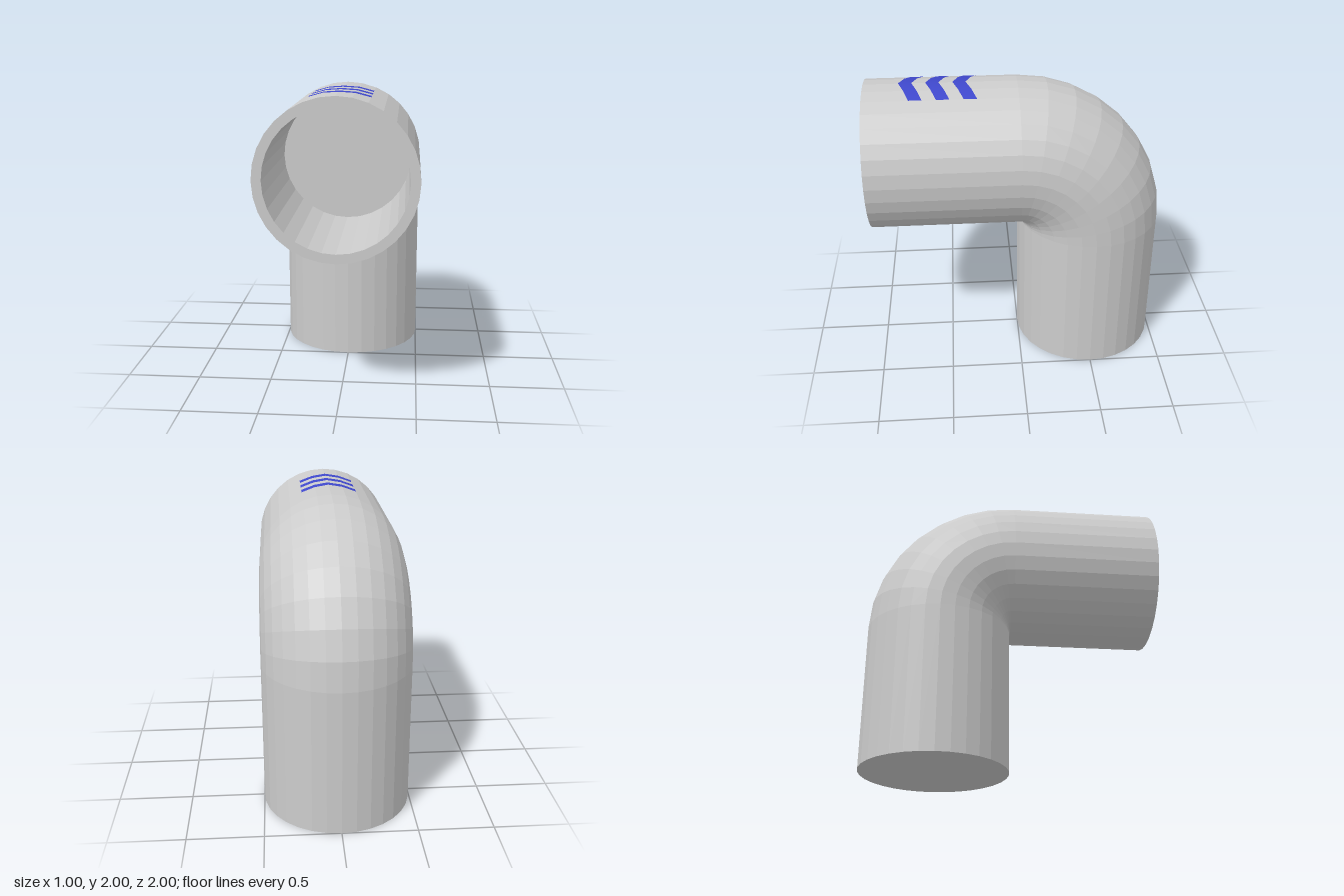
import * as THREE from 'three';

const SIDES = 32, BEND_STEPS = 8;
const R = 0.5, BORE = 0.44, BORE_DEPTH = 0.93, AXIS_Y = 1.5;

// Skin neighbouring rows of points with quads
function loft(rows) {
  const pos = [], index = [], n = rows[0].length;
  rows.forEach(row => row.forEach(p => pos.push(p.x, p.y, p.z)));
  for (let i = 0; i < rows.length - 1; i++) {
    for (let j = 0; j < n - 1; j++) {
      const a = i * n + j, b = a + 1, c = a + n, d = c + 1;
      index.push(a, b, d, a, d, c);
    }
  }
  const g = new THREE.BufferGeometry();
  g.setAttribute('position', new THREE.Float32BufferAttribute(pos, 3));
  g.setIndex(index);
  g.computeVertexNormals();
  return g;
}

// Ring of the pipe at bend angle t, shifted by dy, dz
function ring(t, dy = 0, dz = 0) {
  return Array.from({ length: SIDES + 1 }, (_, j) => {
    const a = ((j % SIDES) / SIDES) * Math.PI * 2;
    const reach = R + R * Math.cos(a);
    return new THREE.Vector3(
      R * Math.sin(a), 1 + reach * Math.cos(t) + dy, -reach * Math.sin(t) + dz);
  });
}

// Arrow stripe wrapped over the top facets, tip towards the open end
function chevron(z) {
  const edge = shift => [-2, -1, 0, 1, 2].map(k => {
    const a = (k / SIDES) * Math.PI * 2, r = R + 0.002;
    const tip = 0.07 * (1 - Math.abs(Math.sin(a)) / Math.sin(Math.PI / 8));
    return new THREE.Vector3(r * Math.sin(a), AXIS_Y + r * Math.cos(a), z + tip + shift);
  });
  return loft([edge(0.085), edge(0)]);
}

export function createModel() {
  const group = new THREE.Group();
  const grey = new THREE.MeshStandardMaterial({ color: 0xcccccc, flatShading: true });
  const inside = new THREE.MeshStandardMaterial({
    color: 0xcccccc, flatShading: true, side: THREE.BackSide });
  const blue = new THREE.MeshStandardMaterial({ color: 0x3f48cc });

  const add = (name, geometry, material = grey) => {
    const mesh = new THREE.Mesh(geometry, material);
    mesh.name = name;
    group.add(mesh);
    return mesh;
  };

  // Outer skin: horizontal arm, elbow, upright arm
  add('horizontalPipe', loft([ring(0, 0, 1), ring(0)]));
  const bend = [];
  for (let i = 0; i <= BEND_STEPS; i++) bend.push(ring((i / BEND_STEPS) * Math.PI / 2));
  add('elbow', loft(bend));
  add('uprightPipe', loft([ring(Math.PI / 2), ring(Math.PI / 2, -1)]));

  // Closed foot
  add('bottomCap', new THREE.CircleGeometry(R, SIDES).rotateX(Math.PI / 2))
    .position.set(0, 0, -0.5);

  // Open mouth: rim, bore and its end wall
  add('rim', new THREE.RingGeometry(BORE, R, SIDES)).position.set(0, AXIS_Y, 1);
  add('bore', new THREE.CylinderGeometry(BORE, BORE, BORE_DEPTH, SIDES, 1, true)
    .rotateX(Math.PI / 2), inside).position.set(0, AXIS_Y, 1 - BORE_DEPTH / 2);
  add('boreEnd', new THREE.CircleGeometry(BORE, SIDES))
    .position.set(0, AXIS_Y, 1 - BORE_DEPTH);

  // Flow direction marks
  [0.267, 0.442, 0.617].forEach((z, i) => add(`chevron${i + 1}`, chevron(z), blue));

  return group;
}
